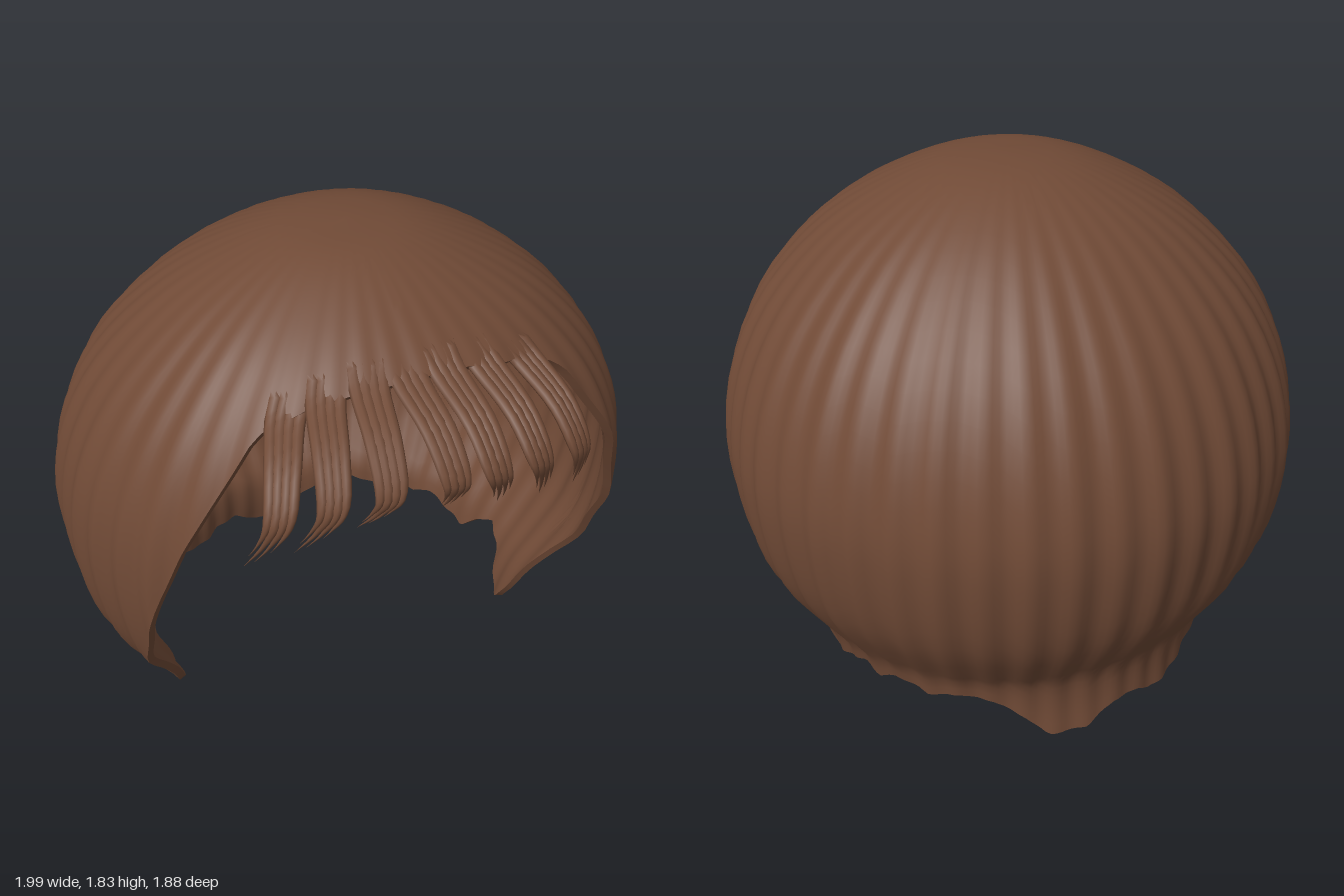
import * as THREE from 'three';
import { toCreasedNormals } from 'three/addons/utils/BufferGeometryUtils.js';

const { lerp, clamp } = THREE.MathUtils;
const V = (x, y, z) => new THREE.Vector3(x, y, z);

// Closed-in-the-round surface: rows run along the part, columns run around it
function sweep(rows, cols, point) {
  const pos = [], index = [];
  for (let k = 0; k <= rows; k++) {
    for (let i = 0; i < cols; i++) pos.push(...point(k, i).toArray());
  }
  for (let k = 0; k < rows; k++) {
    for (let i = 0; i < cols; i++) {
      const a = k * cols + i, b = k * cols + (i + 1) % cols;
      if (k > 0) index.push(a, a + cols, b);
      else index.push(a, a + cols, b + cols);
      if (k > 0) index.push(b, a + cols, b + cols);
    }
  }
  const geo = new THREE.BufferGeometry();
  geo.setAttribute('position', new THREE.Float32BufferAttribute(pos, 3));
  geo.setIndex(index);
  geo.computeVertexNormals();
  return geo;
}

// Side profile of the cap from crown to tips: radius, height
const profile = new THREE.CatmullRomCurve3([
  [0, 1.83], [0.22, 1.808], [0.45, 1.715], [0.64, 1.59], [0.82, 1.4], [0.935, 1.18], [0.985, 0.95],
  [0.98, 0.72], [0.93, 0.5], [0.83, 0.32], [0.755, 0.2], [0.715, 0.1], [0.69, 0],
].map(([r, y]) => V(r, y, 0)));

// Height of the hair edge by azimuth in degrees: 0 is the front, 90 the +x side
const hairline = [
  [0, 1.6], [14, 1.59], [28, 1.56], [38, 1.51], [41, 1.47], [46, 1.3], [51, 1.1], [57, 0.8], [62, 0.6],
  [67, 0.4], [70, 0.27], [74, 0.1], [78, 0.005], [81, 0.005], [85, 0.06], [90, 0.15], [97, 0.21], [103, 0.18],
  [110, 0.1], [117, 0.13], [126, 0.18], [132, 0.15], [138, 0.19], [147, 0.15], [156, 0.18], [164, 0.16],
  [172, 0.09], [178, 0.01], [188, 0.01], [196, 0.08], [204, 0.08], [208, 0.05], [213, 0.05], [222, 0.09],
  [234, 0.18], [242, 0.16], [250, 0.2], [262, 0.23], [270, 0.2], [276, 0.12], [281, 0.11], [286, 0.14],
  [290, 0.27], [293, 0.4], [298, 0.6], [303, 0.8], [309, 1.1], [314, 1.3], [319, 1.47], [322, 1.51],
  [332, 1.56], [346, 1.59], [360, 1.6],
];

function edgeHeight(deg) {
  const i = Math.max(1, hairline.findIndex(([a]) => a >= deg));
  const [a0, y0] = hairline[i - 1], [a1, y1] = hairline[i];
  return lerp(y0, y1, (deg - a0) / (a1 - a0));
}

// Profile parameter at a given height
function paramAt(y) {
  let lo = 0, hi = 1;
  for (let n = 0; n < 24; n++) {
    const mid = (lo + hi) / 2;
    if (profile.getPoint(mid).y > y) lo = mid; else hi = mid;
  }
  return lo;
}

// Point on the cap, sunk below the surface by depth, with soft combed ripples
function capPoint(angle, u, depth) {
  const p = profile.getPoint(u), t = profile.getTangent(u);
  const ripple = 0.009 * p.x * p.x * (Math.cos(44 * angle) + 0.4 * Math.sin(17 * angle));
  const r = Math.max(0, p.x + t.y * depth + ripple);
  const y = p.y - t.x * depth;
  // The nape flares out a little at its lower edge
  const flare = Math.max(0, -Math.cos(angle)) * 0.1 * clamp((0.25 - y) / 0.25, 0, 1);
  const shift = 0.06 * clamp((y - 0.9) / 0.7, 0, 1);
  return V((r + flare) * Math.sin(angle), y, 0.94 * (r + flare) * Math.cos(angle) + shift);
}

// Cap: outer surface down to the edge, then the inner surface back up
function capGeometry() {
  const cols = 270, rows = 30, ends = [];
  for (let i = 0; i < cols; i++) ends.push(paramAt(edgeHeight(i * 360 / cols)));
  const geo = sweep(rows * 2 + 1, cols, (k, i) => {
    const inner = k > rows;
    const v = (inner ? rows * 2 + 1 - k : k) / rows;
    return capPoint(i / cols * Math.PI * 2, ends[i] * v, inner ? 0.028 : 0);
  });
  return toCreasedNormals(geo, 0.9);
}

// One fine flattened strand that tapers to a point
function filamentGeometry(path, side, offset, length, width) {
  const rows = 18, cols = 8;
  return sweep(rows, cols, (k, i) => {
    const s = k / rows, t = s * length;
    const c = path.getPoint(t), normal = side.clone().cross(path.getTangent(t)).normalize();
    const taper = s < 0.6 ? 1 : Math.max(0.02, 1 - (s - 0.6) / 0.4);
    const w = lerp(width, width * 0.6, s), a = i / cols * Math.PI * 2;
    return c.addScaledVector(side, offset * w + Math.cos(a) * w * 0.19 * taper)
      .addScaledVector(normal, Math.sin(a) * 0.014 * taper);
  });
}

// Fringe locks: root azimuth, bend x, bend z, tip x, tip y
const locks = [
  [-35, -0.51, 0.82, -0.58, 1.13], [-26, -0.37, 0.87, -0.44, 1.18], [-15, -0.21, 0.9, -0.26, 1.24],
  [-4, -0.02, 0.92, 0.0, 1.25], [7, 0.11, 0.925, 0.18, 1.22], [19, 0.26, 0.9, 0.34, 1.18],
  [32, 0.43, 0.84, 0.5, 1.13],
];

export function createModel() {
  const group = new THREE.Group();
  const brown = new THREE.MeshStandardMaterial({ color: 0x704a36 });
  brown.name = 'brown hair';

  const cap = new THREE.Mesh(capGeometry(), brown);
  cap.name = 'hairCap';
  group.add(cap);

  const fringe = new THREE.Group();
  fringe.name = 'fringe';
  group.add(fringe);
  locks.forEach(([deg, bx, bz, tx, ty], n) => {
    const angle = deg * Math.PI / 180;
    const edge = edgeHeight((deg + 360) % 360);
    const root = capPoint(angle, paramAt(edge + 0.06), 0.014);
    const rim = capPoint(angle, paramAt(edge + 0.005), 0.008);
    const bend = V(bx, edge - 0.18, bz);
    const path = new THREE.CatmullRomCurve3([
      root, rim, rim.clone().lerp(bend, 0.6).add(V(0, 0.035, 0.01)), bend,
      V(lerp(bx, tx, 0.4), lerp(bend.y, ty, 0.4), bz - 0.025), V(tx, ty, bz - 0.1),
    ]);
    const side = V(Math.cos(angle * 0.7), 0, -Math.sin(angle * 0.7));
    const lock = new THREE.Group();
    lock.name = 'fringeLock' + (n + 1);
    // Four strands lie side by side and end at different lengths
    [0.9, 1, 0.95, 0.86].forEach((length, j) => {
      const strand = new THREE.Mesh(filamentGeometry(path, side, (j - 1.5) * 0.25, length, 0.115), brown);
      strand.name = 'strand';
      lock.add(strand);
    });
    fringe.add(lock);
  });
  return group;
}
